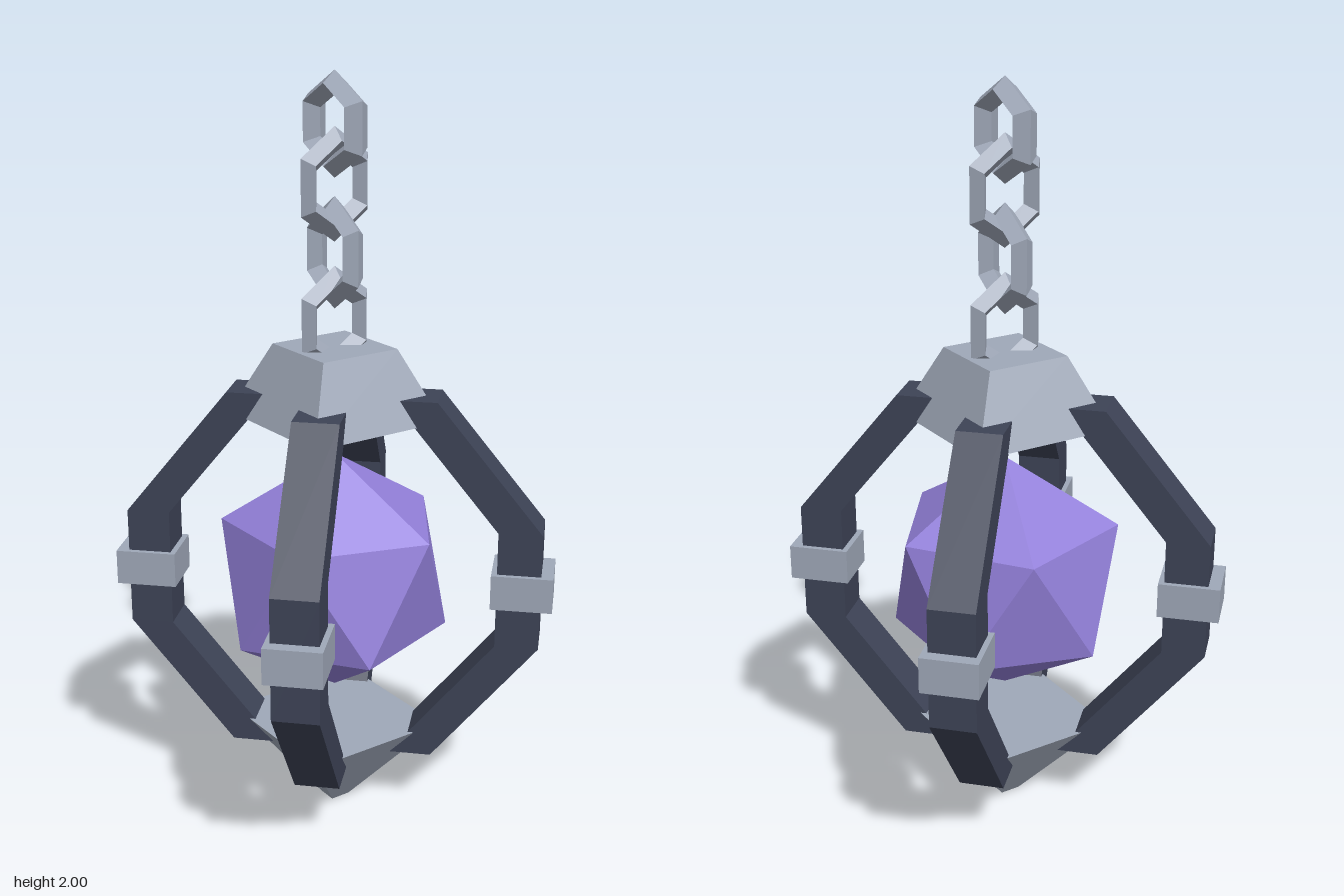
import * as THREE from 'three';
import { ConvexGeometry } from 'three/addons/geometries/ConvexGeometry.js';

const flat = (name, color) => {
  const m = new THREE.MeshStandardMaterial({ color, flatShading: true });
  m.name = name;
  return m;
};

export function createModel() {
  const metal = flat('pale steel', 0x9fa8b8);
  const iron = flat('dark iron', 0x3d4356);
  const crystal = flat('purple crystal', 0x9380da);

  const model = new THREE.Group();
  model.name = 'hangingLantern';
  const add = (name, geometry, material, parent = model) => {
    const mesh = new THREE.Mesh(geometry, material);
    mesh.name = name;
    parent.add(mesh);
    return mesh;
  };

  // Square tapered caps above and below
  const taper = (topHalf, bottomHalf, y0, y1) =>
    new THREE.CylinderGeometry(topHalf * Math.SQRT2, bottomHalf * Math.SQRT2, y1 - y0, 4)
      .rotateY(Math.PI / 4)
      .translate(0, (y0 + y1) / 2, 0);
  add('topCap', taper(0.115, 0.2, 1.12, 1.31), metal);
  add('bottomCap', taper(0.205, 0.028, 0, 0.245), metal);

  // Twenty-sided crystal standing on a point
  const radius = 0.338, ring = radius * 2 / Math.sqrt(5), lift = radius / Math.sqrt(5);
  const points = [new THREE.Vector3(0, radius, 0), new THREE.Vector3(0, -radius, 0)];
  for (let i = 0; i < 10; i++) {
    const a = i * Math.PI / 5;
    points.push(new THREE.Vector3(ring * Math.cos(a), i % 2 ? -lift : lift, ring * Math.sin(a)));
  }
  add('crystal', new ConvexGeometry(points), crystal).position.y = 0.683;

  // Bent arms on the diagonals, each with a clamp at its middle
  const path = [[0.275, 0.18], [0.555, 0.523], [0.555, 0.845], [0.275, 1.19]];
  const thick = 0.115;
  const outline = [
    ...path.map(([r, y]) => new THREE.Vector2(r, y)),
    ...path.map(([r, y]) => new THREE.Vector2(r - thick, y)).reverse(),
  ];
  const armGeometry = new THREE.ExtrudeGeometry(new THREE.Shape(outline), { depth: 0.12, bevelEnabled: false })
    .translate(0, 0, -0.06);
  const clampGeometry = new THREE.BoxGeometry(0.162, 0.095, 0.148).translate(0.506, 0.683, 0);
  for (let i = 0; i < 4; i++) {
    const side = new THREE.Group();
    side.name = 'armAssembly' + (i + 1);
    side.rotation.y = Math.PI / 4 + i * Math.PI / 2;
    add('arm', armGeometry, iron, side);
    add('clamp', clampGeometry, metal, side);
    model.add(side);
  }

  // Chain of six-sided links, alternately turned a quarter
  const linkGeometry = new THREE.TorusGeometry(0.1, 0.03, 4, 6).rotateZ(Math.PI / 2);
  const chain = new THREE.Group();
  chain.name = 'chain';
  [1.87, 1.723, 1.552, 1.376].forEach((y, i) => {
    const link = add('chainLink' + (i + 1), linkGeometry, metal, chain);
    link.position.y = y;
    link.rotation.y = i % 2 ? 0 : Math.PI / 2;
    if (i === 0) link.scale.set(1.02, 1, 1.15);
    else link.scale.set(0.9, 1.1, 1.04);
  });
  model.add(chain);

  return model;
}
